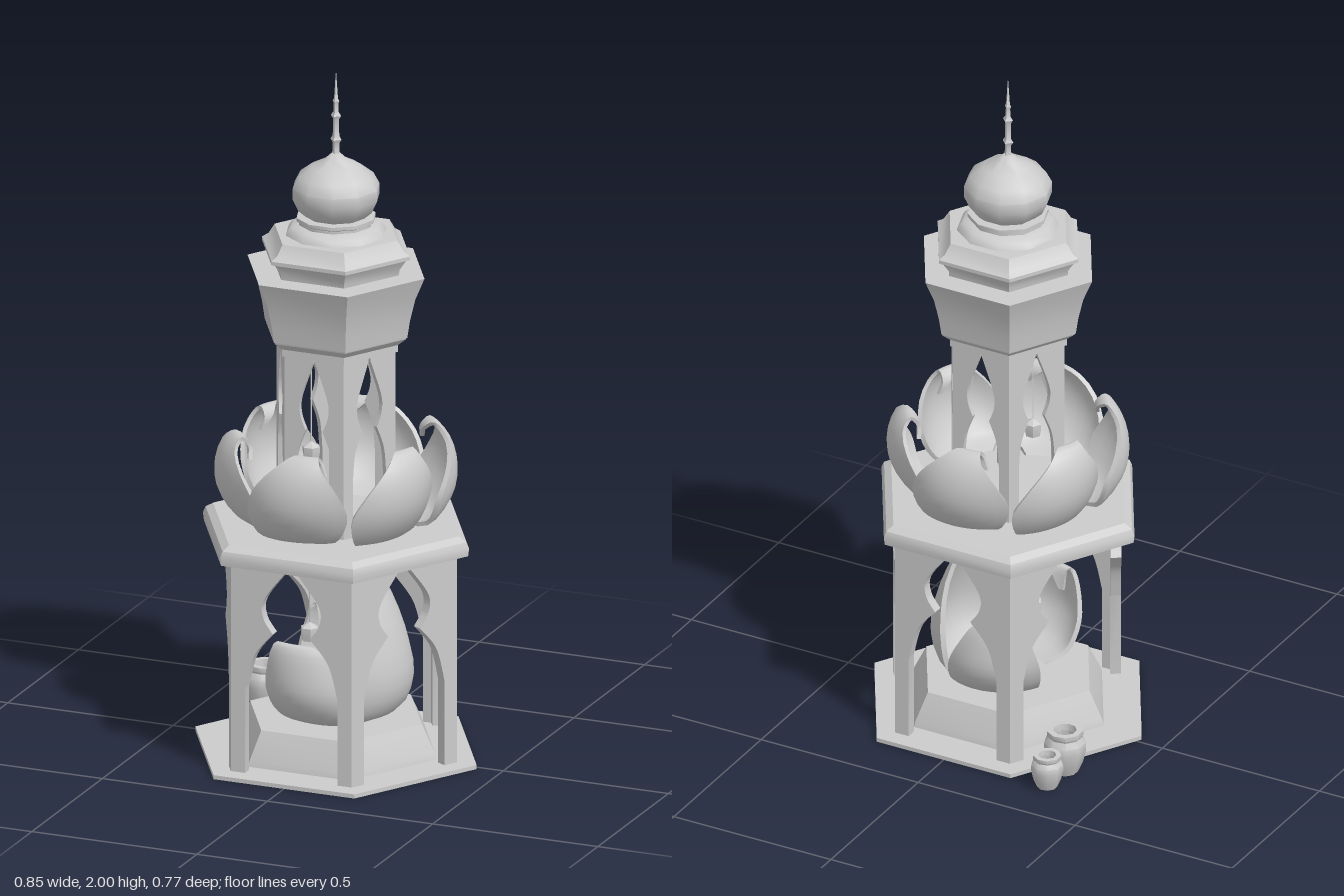
import * as THREE from 'three';
import { toCreasedNormals } from 'three/addons/utils/BufferGeometryUtils.js';

const mat = new THREE.MeshStandardMaterial({ color: 0xcccccc, side: THREE.DoubleSide });
const V2 = (p) => new THREE.Vector2(p[0], p[1]);

function add(parent, name, geo, crease = 0.5) {
  const m = new THREE.Mesh(toCreasedNormals(geo, crease), mat);
  m.name = name;
  parent.add(m);
  return m;
}

// Turned or prismatic part from [radius, height] pairs; corners fall on the x axis
function turned(parent, name, pts, sides = 6) {
  const geo = new THREE.LatheGeometry(pts.map(V2), sides, Math.PI / 2);
  return add(parent, name, geo, sides > 6 ? 0.75 : 0.5);
}

// Half of a cusped arch: pillar plus spandrel, s = side of the face it sits on
function halfArch(parent, name, R, t, y0, y1, edge, face, s) {
  const half = R / 2, P = (p) => new THREE.Vector2(p[0] * s, p[1]);
  const [spring, shoulder, cusp, lobeLow, lobe, apex] = edge.map(P);
  const shape = new THREE.Shape();
  shape.moveTo(half * s, y0);
  shape.lineTo(spring.x, y0);
  shape.lineTo(spring.x, spring.y);
  shape.splineThru([shoulder, cusp]);
  shape.splineThru([lobeLow, lobe, apex]);
  shape.lineTo(apex.x, y1);
  shape.lineTo(half * s, y1);
  shape.closePath();
  const geo = new THREE.ExtrudeGeometry(shape, { depth: t, bevelEnabled: false, curveSegments: 7 });
  geo.translate(0, 0, R * Math.sqrt(3) / 2 - t);
  add(parent, name, geo).rotation.y = face * Math.PI / 3;
}

// Curling petal: spine of [radius, height, half width], wrapped sideways on a cylinder;
// skew carries the tip sideways, yaw swings one edge outward
function petal(parent, name, spine, { wrap, skew = 0, yaw = 0, angle }) {
  const curve = new THREE.CatmullRomCurve3(spine.map((p) => new THREE.Vector3(...p)));
  const rows = 20, cols = 10, ring = 2 * (cols + 1), thick = 0.011, pos = [], idx = [];
  for (let j = 0; j <= rows; j++) {
    const v = j / rows, p = curve.getPoint(v), d = curve.getTangent(v);
    const len = Math.hypot(d.x, d.y) || 1;
    for (let k = 0; k < ring; k++) {
      const inner = k > cols, i = inner ? ring - 1 - k : k;
      const a = (i / cols * 2 - 1) * Math.max(p.z, 0.004) / wrap, o = inner ? thick : 0;
      const side = (wrap - o) * Math.sin(a);
      pos.push(side + skew * (v * v - 0.15),
        p.y + o * d.x / len,
        p.x - o * d.y / len - wrap * (1 - Math.cos(a)) - yaw * side);
    }
  }
  for (let j = 0; j < rows; j++) {
    for (let k = 0; k < ring; k++) {
      const a = j * ring + k, b = j * ring + (k + 1) % ring;
      idx.push(a, b, b + ring, a, b + ring, a + ring);
    }
  }
  const geo = new THREE.BufferGeometry();
  geo.setAttribute('position', new THREE.Float32BufferAttribute(pos, 3));
  geo.setIndex(idx);
  add(parent, name, geo, 0.9).rotation.y = angle;
}

// Small lantern on a cord
function lantern(parent, x, y, z, cord) {
  const g = new THREE.Group();
  g.name = 'lantern';
  turned(g, 'lanternBody', [[0, -0.022], [0.022, -0.022], [0.026, 0], [0.026, 0.016], [0.012, 0.024], [0, 0.03]]);
  add(g, 'lanternCord', new THREE.CylinderGeometry(0.002, 0.002, cord, 4)).position.y = 0.03 + cord / 2;
  g.position.set(x, y, z);
  parent.add(g);
}

function pot(parent, x, z, r, h) {
  const pts = [[0, 0], [0.62, 0], [0.85, 0.25], [1, 0.55], [0.98, 0.72], [0.8, 0.85], [0.86, 0.9], [0.86, 1],
    [0.55, 1], [0.5, 0.85], [0.62, 0.6], [0.45, 0.2], [0, 0.2]];
  turned(parent, 'pot', pts.map(([a, b]) => [a * r, b * h]), 9).position.set(x, 0.002, z);
}

export function createModel() {
  const root = new THREE.Group();
  root.name = 'pavilionTower';
  const tower = new THREE.Group();
  tower.name = 'tower';
  tower.position.z = 0.015;
  root.add(tower);

  // Ground plate and plinth
  turned(tower, 'groundPlate', [[0, 0], [0.426, 0], [0.426, 0.012], [0, 0.012]]);
  turned(tower, 'plinth', [[0.305, 0.012], [0.3, 0.03], [0.26, 0.11], [0, 0.11]]);

  // Lower arcade, open at the -x corner as an entrance, and the closed upper arcade
  const lowArch = [[0.14, 0.26], [0.112, 0.36], [0.056, 0.43], [0.085, 0.475], [0.082, 0.53], [0.01, 0.625]];
  const highArch = [[0.058, 0.84], [0.05, 0.92], [0.026, 0.985], [0.042, 1.03], [0.04, 1.08], [0.003, 1.185]];
  for (let f = 0; f < 6; f++) {
    for (const s of [-1, 1]) {
      const entrance = (f === 5 && s < 0) || (f === 4 && s > 0);
      if (!entrance) halfArch(tower, 'lowerArch', 0.366, 0.03, 0.01, 0.63, lowArch, f, s);
      halfArch(tower, 'upperArch', 0.18, 0.015, 0.67, 1.2, highArch, f, s);
    }
  }

  // Floor slab between the storeys
  turned(tower, 'terrace', [[0, 0.622], [0.4, 0.622], [0.403, 0.645], [0.395, 0.663], [0.372, 0.677], [0, 0.677]]);

  // Ring of pointed, sideways curling petals on the terrace
  const leaf = [[0.22, 0.675, 0.07], [0.28, 0.7, 0.125], [0.328, 0.775, 0.165], [0.336, 0.85, 0.13],
    [0.312, 0.922, 0.065], [0.275, 0.952, 0.032], [0.245, 0.925, 0.016], [0.245, 0.89, 0.006]];
  for (let k = 0; k < 6; k++) {
    petal(tower, 'terracePetal', leaf, { wrap: 0.19, skew: 0.085, yaw: 0.11, angle: k * Math.PI / 3 });
  }

  // Petal throne: tall hooded back and a curled petal on each side of the entrance
  const back = [[0.1, 0.11, 0.11], [0.19, 0.15, 0.185], [0.22, 0.23, 0.205], [0.2, 0.34, 0.165], [0.155, 0.45, 0.105],
    [0.09, 0.55, 0.06], [0.035, 0.59, 0.03], [0.0, 0.57, 0.015], [0.0, 0.53, 0.005]];
  petal(tower, 'throneBack', back, { wrap: 0.19, angle: Math.PI / 2 });
  const arm = [[0.1, 0.11, 0.09], [0.19, 0.14, 0.14], [0.235, 0.21, 0.15], [0.235, 0.29, 0.115],
    [0.215, 0.36, 0.07], [0.19, 0.36, 0.035], [0.175, 0.3, 0.008]];
  petal(tower, 'throneSide', arm, { wrap: 0.17, skew: -0.07, angle: -0.08 });
  petal(tower, 'throneSide', arm, { wrap: 0.17, skew: 0.07, angle: Math.PI + 0.3 });

  // Hanging lanterns
  lantern(tower, -0.08, 0.335, 0, 0.26);
  lantern(tower, -0.06, 0.88, 0.035, 0.29);

  // Flared upper storey with stepped cornice
  turned(tower, 'upperBand', [[0, 1.195], [0.188, 1.195], [0.188, 1.215], [0.212, 1.235], [0.215, 1.245], [0, 1.245]]);
  turned(tower, 'flaredDrum', [[0, 1.24], [0.216, 1.24], [0.224, 1.29], [0.24, 1.355], [0.268, 1.42], [0.19, 1.42]]);
  turned(tower, 'cornice', [[0.19, 1.41], [0.192, 1.435], [0.212, 1.465], [0.224, 1.469], [0.224, 1.48],
    [0.205, 1.492], [0.186, 1.522], [0, 1.525]]);

  // Round collar and onion dome
  turned(tower, 'domeCollar', [[0.145, 1.52], [0.137, 1.535], [0.125, 1.545], [0.105, 1.55], [0.105, 1.558],
    [0.113, 1.562], [0.113, 1.572], [0, 1.578]], 10);
  turned(tower, 'onionDome', [[0.085, 1.572], [0.108, 1.592], [0.124, 1.627], [0.124, 1.658], [0.107, 1.69],
    [0.07, 1.718], [0.03, 1.738], [0.012, 1.755], [0, 1.757]], 10);

  // Beaded finial
  turned(tower, 'finial', [[0.016, 1.74], [0.01, 1.765], [0.01, 1.785], [0.017, 1.795], [0.01, 1.806], [0.009, 1.855],
    [0.016, 1.865], [0.008, 1.876], [0.007, 1.9], [0.01, 1.908], [0.006, 1.916], [0, 2]], 4);

  // Pots beside the ground plate
  pot(root, -0.325, -0.243, 0.06, 0.13);
  pot(root, -0.325, -0.345, 0.046, 0.1);
  return root;
}
